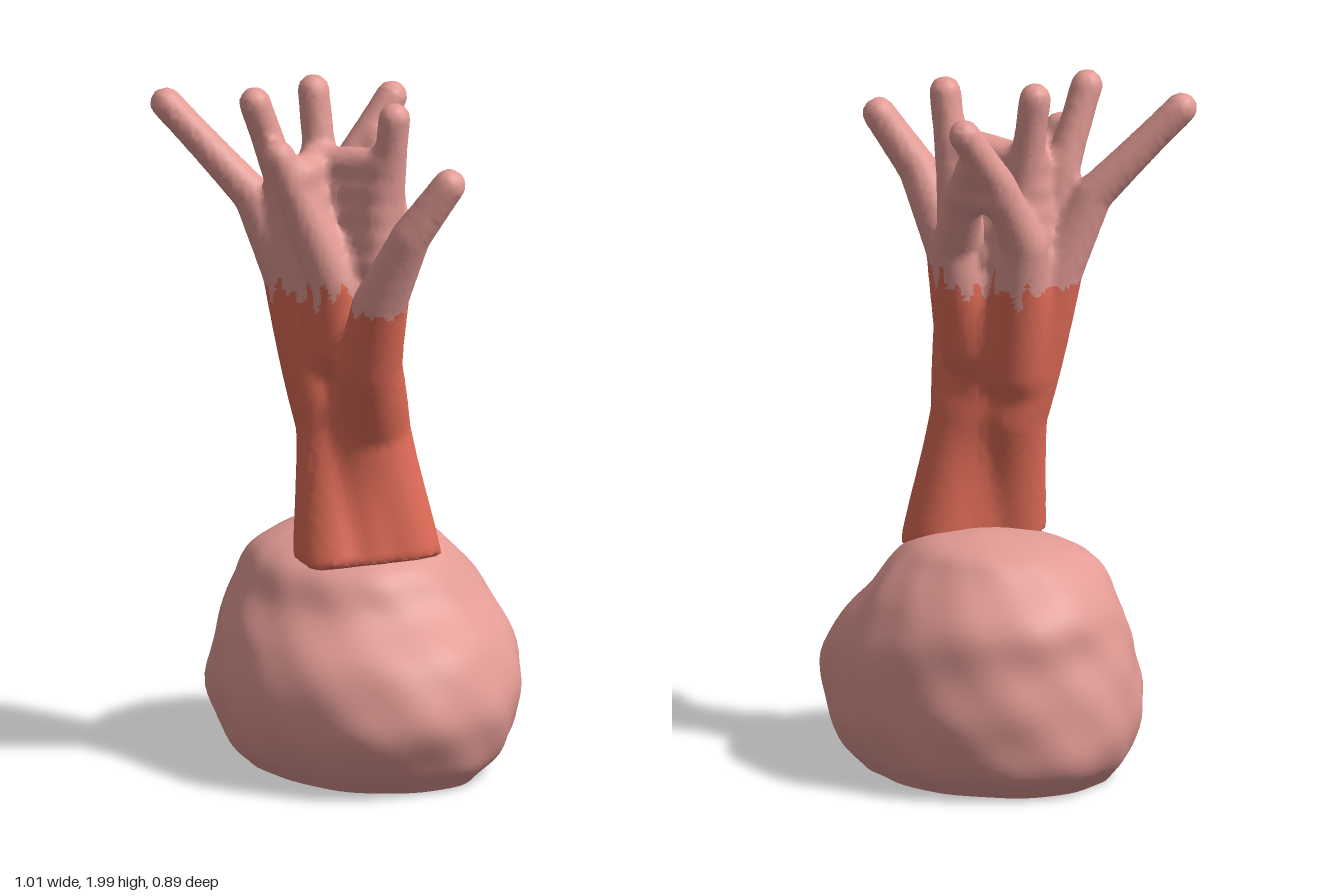
import * as THREE from 'three';
import { toCreasedNormals } from 'three/addons/utils/BufferGeometryUtils.js';

const pink = new THREE.MeshStandardMaterial({ color: 0xe39b95 });
pink.name = 'pale pink';
const red = new THREE.MeshStandardMaterial({ color: 0xe26d58 });
red.name = 'coral red';

// Each limb is a chain of points along its middle
const limbs = [
  [[0.15, 0.58, 0], [0.095, 1, 0.065], [0.155, 1.22, 0.16], [0.225, 1.42, 0.2], [0.34, 1.64, 0.2], [0.44, 1.8, 0.15]], // right arm
  [[0.045, 0.58, 0.185], [-0.03, 1, 0.1], [-0.155, 1.43, 0.14], [-0.245, 1.65, 0.19], [-0.465, 1.91, 0.31]], // left arm
  [[0.1, 0.58, 0.09], [0.05, 1.15, 0.075], [0.085, 1.45, 0.035], [0.165, 1.925, 0.06]], // upright
  [[-0.05, 1.2, 0.1], [-0.15, 1.72, 0.18], [-0.185, 1.95, 0.255]], // front twig
  [[-0.02, 1.2, 0.08], [-0.14, 1.95, 0.05]], // inner twig
  [[0.02, 1.25, 0.12], [0.02, 1.42, 0.14], [-0.095, 1.81, 0.26]], // short front twig
  [[-0.06, 1.15, 0.07], [-0.135, 1.53, 0], [-0.11, 1.73, -0.1], [-0.06, 1.89, -0.2]], // back arm
  [[0.06, 1.2, 0.05], [0.09, 1.5, -0.01], [-0.05, 1.78, -0.14]], // back brace
  [[-0.09, 1.69, -0.09], [0, 1.69, -0.1]], // web under the back arm
];
// Web filling the gaps behind the front twigs
for (let i = 0; i < 5; i++) {
  const y = 1.47 + i * 0.07;
  limbs.push([[-0.1, y, 0.08], [0.11, y + 0.03, 0.065]], [[-0.1, y, 0.08], [-0.06, y, 0.1 + i * 0.025]]);
}

// Limbs thin out with height and flare at the foot
const { smoothstep } = THREE.MathUtils;
const limbRadius = y => 0.114 - 0.012 * smoothstep(y, 0.6, 0.95) - 0.057 * smoothstep(y, 1, 1.9);

function limbDistance(chain, x, y, z) {
  let best = 9;
  for (let i = 1; i < chain.length; i++) {
    const [ax, ay, az] = chain[i - 1], [bx, by, bz] = chain[i];
    const dx = bx - ax, dy = by - ay, dz = bz - az;
    const t = THREE.MathUtils.clamp(
      ((x - ax) * dx + (y - ay) * dy + (z - az) * dz) / (dx * dx + dy * dy + dz * dz), 0, 1);
    const d = Math.hypot(x - ax - dx * t, y - ay - dy * t, z - az - dz * t);
    best = Math.min(best, d - limbRadius(ay + dy * t));
  }
  return best;
}

// Blend all limbs and cut the foot flat
function coralField(x, y, z) {
  const k = 0.025;
  let d = 9;
  for (const chain of limbs) {
    const e = limbDistance(chain, x, y, z);
    const h = Math.max(k - Math.abs(d - e), 0) / k;
    d = Math.min(d, e) - h * h * k * 0.25;
  }
  return Math.max(d, 0.634 + 0.008 * Math.sin(x * 25 + z * 12) - y);
}

// Skin a distance field with one vertex per crossed grid cell
function skin(field, min, max, cell) {
  const n = min.map((m, a) => Math.ceil((max[a] - m) / cell) + 1);
  const step = [1, n[0], n[0] * n[1]];
  const value = new Float32Array(n[0] * n[1] * n[2]).fill(1);
  const each = (from, fn) => {
    for (let k = from; k < n[2] - 1; k++)
      for (let j = from; j < n[1] - 1; j++)
        for (let i = from; i < n[0] - 1; i++) fn([i, j, k], i + j * step[1] + k * step[2]);
  };
  each(0, (p, id) => { value[id] = field(...p.map((v, a) => min[a] + v * cell)); });

  const points = [], vertexOf = new Map();
  each(0, (p, id) => {
    const sum = [0, 0, 0];
    let hits = 0;
    for (let c = 0; c < 8; c++) {
      for (let a = 0; a < 3; a++) {
        if (c >> a & 1) continue;
        const bits = [c & 1, c >> 1 & 1, c >> 2 & 1];
        const q = id + bits[0] + bits[1] * step[1] + bits[2] * step[2];
        const v0 = value[q], v1 = value[q + step[a]];
        if ((v0 < 0) === (v1 < 0)) continue;
        bits[a] = v0 / (v0 - v1);
        bits.forEach((b, m) => { sum[m] += b; });
        hits++;
      }
    }
    if (!hits) return;
    vertexOf.set(id, points.length / 3);
    points.push(...sum.map((s, a) => min[a] + (p[a] + s / hits) * cell));
  });

  const faces = [];
  each(1, (p, id) => {
    for (let a = 0; a < 3; a++) {
      const inside = value[id] < 0;
      if (inside === (value[id + step[a]] < 0)) continue;
      const b = step[(a + 1) % 3], c = step[(a + 2) % 3];
      const q = [id - b - c, id - c, id, id - b].map(v => vertexOf.get(v));
      if (!inside) q.reverse();
      faces.push([q[0], q[1], q[2]], [q[0], q[2], q[3]]);
    }
  });
  return { points, faces };
}

function makeGeometry(points, index) {
  const g = new THREE.BufferGeometry();
  g.setAttribute('position', new THREE.Float32BufferAttribute(points, 3));
  g.setIndex(index);
  return g;
}

function makeCoral() {
  const { points, faces } = skin(coralField, [-0.56, 0.58, -0.3], [0.54, 2.06, 0.4], 0.016);
  // Ragged colour change: red stem below, pale tips above
  const isTip = f => {
    const [x, y, z] = [0, 1, 2].map(a => (points[f[0] * 3 + a] + points[f[1] * 3 + a] + points[f[2] * 3 + a]) / 3);
    const rag = Math.abs(x) < 0.17 ? 0.05 : 0.01;
    return y > 1.4 + rag * Math.sin(x * 95 + z * 20) * Math.cos(z * 60 - x * 17);
  };
  const stem = faces.filter(f => !isTip(f)).flat(), tips = faces.filter(isTip).flat();
  const g = makeGeometry(points, [...stem, ...tips]);
  g.addGroup(0, stem.length, 0);
  g.addGroup(stem.length, tips.length, 1);
  return new THREE.Mesh(toCreasedNormals(g, 0.9), [red, pink]);
}

function makeRock() {
  // Rows of height, then left, right, back and front limits
  const rows = [
    [0, -0.4, 0.38, -0.34, 0.31], [0.08, -0.465, 0.45, -0.41, 0.39], [0.22, -0.485, 0.495, -0.44, 0.44],
    [0.38, -0.455, 0.45, -0.425, 0.405], [0.5, -0.43, 0.33, -0.39, 0.315], [0.61, -0.345, 0.245, -0.295, 0.255],
    [0.67, -0.23, 0.12, -0.225, 0.09], [0.695, -0.05, -0.04, -0.08, -0.07],
  ];
  const rowCurve = place => new THREE.CatmullRomCurve3(
    rows.map(([y, l, r, b, f]) => new THREE.Vector3(place(l, r), y, place(b, f))), false, 'catmullrom');
  const centres = rowCurve((lo, hi) => (lo + hi) / 2), sizes = rowCurve((lo, hi) => (hi - lo) / 2);
  const around = 72, up = 40, points = [], index = [];
  for (let j = -1; j <= up + 1; j++) {
    const t = THREE.MathUtils.clamp(j / up, 0, 1);
    const c = centres.getPoint(t), s = sizes.getPoint(t);
    const closed = j < 0 || j > up ? 0 : 1;
    for (let i = 0; i < around; i++) {
      const a = i / around * Math.PI * 2;
      // Skewed outline with rounded bulges and small dents
      const lump = 1 + 0.08 * (1 - c.y) * Math.sin(2 * a) + 0.01 * Math.sin(7 * a + c.y * 14)
        + 0.006 * Math.sin(c.y * 31 + 3 * a) + 0.006 * Math.sin(13 * a - c.y * 23);
      points.push(c.x + Math.cos(a) * s.x * lump * closed, c.y, c.z + Math.sin(a) * s.z * lump * closed);
    }
  }
  for (let j = 0; j < up + 2; j++) {
    for (let i = 0; i < around; i++) {
      const p = j * around + i, q = j * around + (i + 1) % around;
      if (j <= up) index.push(p, p + around, q + around);
      if (j > 0) index.push(p, q + around, q);
    }
  }
  return new THREE.Mesh(toCreasedNormals(makeGeometry(points, index), 0.7), pink);
}

export function createModel() {
  const model = new THREE.Group();
  model.name = 'coral on rock';
  const rock = makeRock();
  rock.name = 'rock';
  const coral = makeCoral();
  coral.name = 'branchingCoral';
  model.add(rock, coral);
  return model;
}
